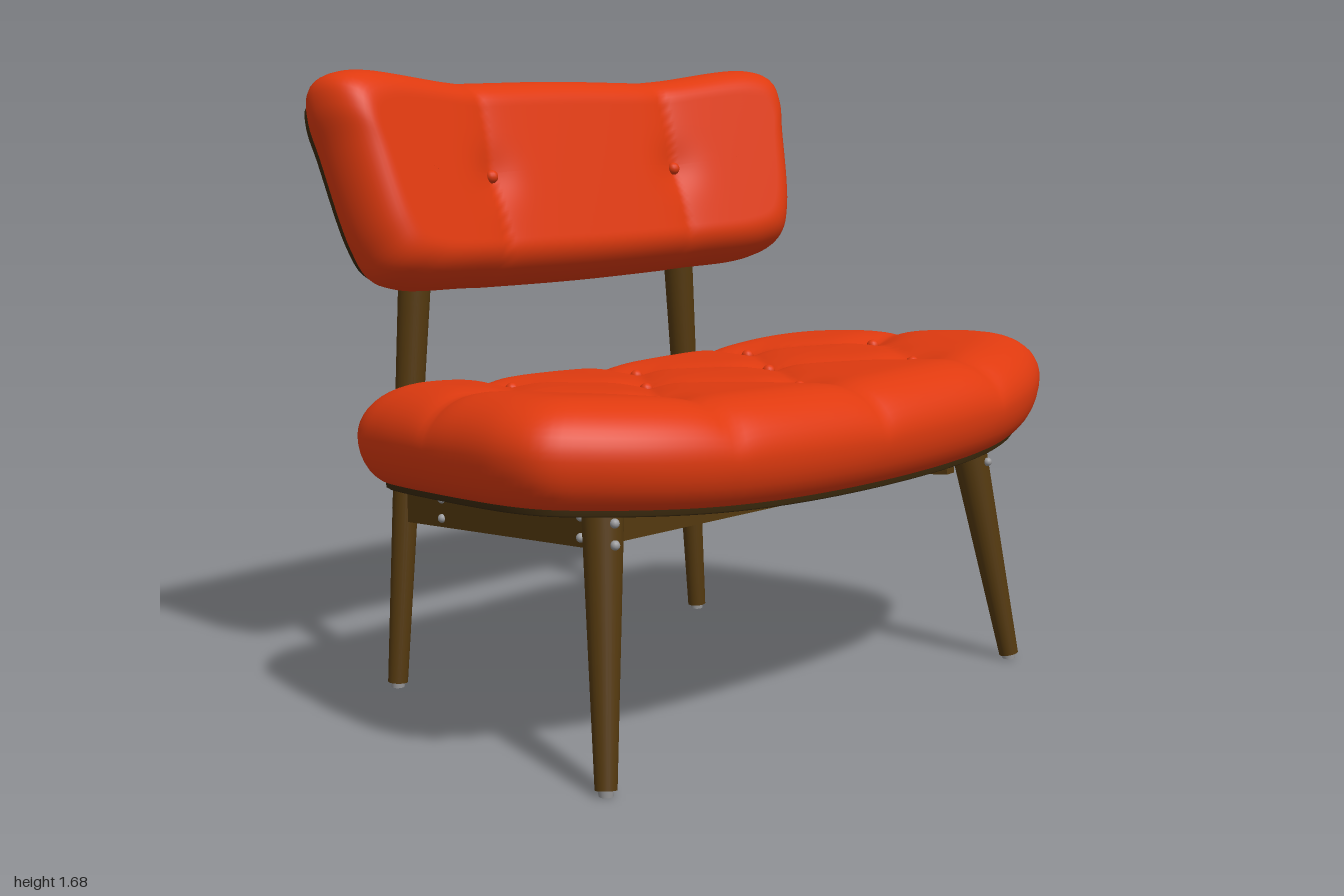
import * as THREE from 'three';

const mat = (name, color, extra = {}) => {
  const m = new THREE.MeshStandardMaterial({ color, ...extra });
  m.name = name;
  return m;
};

// Closed outline from half of its points, mirrored across x = 0
function outline(half, n) {
  const all = half.concat(half.slice(1, -1).reverse().map(([x, y]) => [-x, y]));
  const curve = new THREE.CatmullRomCurve3(all.map(([x, y]) => new THREE.Vector3(x, y, 0)), true, 'centripetal');
  return curve.getSpacedPoints(n).slice(0, n);
}

// Cushion cross-section as [inset, height]: flat, lower round, upper round, flat
function cushionProfile(depth, r1, low, mid, r2, high) {
  const pts = [];
  const arc = (i, n) => (i / n) * Math.PI / 2;
  for (let i = 0; i < 6; i++) pts.push([depth + (r1 - depth) * i / 6, low]);
  for (let i = 0; i < 8; i++) pts.push([r1 * (1 - Math.sin(arc(i, 8))), mid + (low - mid) * Math.cos(arc(i, 8))]);
  for (let i = 0; i < 12; i++) pts.push([r2 * (1 - Math.cos(arc(i, 12))), mid + (high - mid) * Math.sin(arc(i, 12))]);
  for (let i = 0; i <= 22; i++) pts.push([r2 + (depth - r2) * i / 22, high]);
  return pts;
}

// Thin board with a rim, as [inset, height]
function boardProfile(depth, inset, low, high) {
  const pts = [];
  for (let i = 0; i <= 6; i++) pts.push([depth + (inset + 0.006 - depth) * i / 6, low]);
  pts.push([inset, low + 0.004], [inset, high]);
  return pts;
}

// Skin running round an outline, one ring for each profile point
function loft(ring, profile, place) {
  const pos = [], idx = [], n = ring.length;
  profile.forEach(([d, h]) => ring.forEach(p => pos.push(...place(p, d, h))));
  for (let j = 0; j < profile.length - 1; j++) {
    for (let i = 0; i < n; i++) {
      const a = j * n + i, b = j * n + (i + 1) % n;
      idx.push(a, b, b + n, a, b + n, a + n);
    }
  }
  const g = new THREE.BufferGeometry();
  g.setAttribute('position', new THREE.Float32BufferAttribute(pos, 3));
  g.setIndex(idx);
  g.computeVertexNormals();
  return g;
}

function segmentDistance(x, z, [ax, az, bx, bz]) {
  const dx = bx - ax, dz = bz - az;
  const t = THREE.MathUtils.clamp(((x - ax) * dx + (z - az) * dz) / (dx * dx + dz * dz), 0, 1);
  return Math.hypot(x - ax - t * dx, z - az - t * dz);
}

// Seat tufting, given for x >= 0 and mirrored
const seatButtons = [[0, -0.21], [0.46, -0.21], [0.24, 0.07], [0.71, 0.06], [0, 0.39], [0.5, 0.37]];
const seatSeams = [
  [0.71, 0.06, 0.46, -0.21], [0.71, 0.06, 0.5, 0.37], [0.24, 0.07, 0.46, -0.21],
  [0.24, 0.07, 0, -0.21], [0.24, 0.07, 0.5, 0.37], [0.24, 0.07, 0, 0.39],
  [0.71, 0.06, 1, 0.04], [0.5, 0.37, 0.52, 0.7], [0, 0.39, 0, 0.7],
  [0.46, -0.21, 0.42, -0.5], [0, -0.21, 0, -0.5]];
const SEAT_H = 0.265;
const seatBase = (x, z) => 0.61 + 0.06 * x * x + 0.05 * z;
function seatDimple(x, z) {
  const ax = Math.abs(x);
  const d = Math.min(...seatSeams.map(s => segmentDistance(ax, z, s)));
  const b = Math.min(...seatButtons.map(([bx, bz]) => Math.hypot(ax - bx, z - bz)));
  return 0.018 * Math.exp(-d / 0.05) + 0.018 * Math.exp(-((b / 0.07) ** 2));
}

// Backrest shape: ends bend forward, seams at the bends
const BEND = 0.35;
const backBend = x => 0.16 * Math.max(0, Math.abs(x) - BEND);
function backDimple(x, y) {
  const s = Math.abs(Math.abs(x) - BEND);
  return 0.01 * Math.exp(-s / 0.04) + 0.015 * Math.exp(-((Math.hypot(s, y + 0.01) / 0.07) ** 2));
}

export function createModel() {
  const red = mat('redFabric', 0xdf3a0f);
  const wood = mat('wood', 0x54390f);
  const board = mat('darkBoard', 0x3a290d, { side: THREE.DoubleSide });
  const metal = mat('metal', 0x9a9a9c);
  const cloth = mat('greyCloth', 0x6e6b6b);

  const model = new THREE.Group();
  model.name = 'loungeChair';
  const add = (name, geo, material, parent = model) => {
    const m = new THREE.Mesh(geo, material);
    m.name = name;
    parent.add(m);
    return m;
  };
  const group = name => {
    const g = new THREE.Group();
    g.name = name;
    model.add(g);
    return g;
  };
  const ball = (name, material, r, p, parent) =>
    add(name, new THREE.SphereGeometry(r, 14, 10), material, parent).position.set(...p);

  // Seat
  const seat = group('seat');
  const seatRing = outline([[0, 0.69], [0.5, 0.67], [0.7, 0.62], [0.88, 0.53], [0.97, 0.46], [1, 0.36],
    [0.985, 0.15], [0.96, 0], [0.92, -0.2], [0.88, -0.32], [0.8, -0.4], [0.6, -0.45], [0, -0.47]], 220);
  const placeSeat = (p, d, h) => {
    const x = p.x * (1 - d), z = 0.11 + (p.y - 0.11) * (1 - d / 0.58);
    const top = THREE.MathUtils.clamp((h - 0.08) / 0.12, 0, 1);
    return [x, seatBase(x, z) + h - top * seatDimple(x, z), z];
  };
  add('seatCushion', loft(seatRing, cushionProfile(0.58, 0.08, 0, 0.12, 0.18, SEAT_H), placeSeat), red, seat);
  add('seatBoard', loft(seatRing, boardProfile(0.58, 0.06, -0.012, 0.02), placeSeat), board, seat);
  const patch = add('undersidePatch', new THREE.BoxGeometry(0.66, 0.008, 0.36), cloth, seat);
  patch.position.set(0, 0.597, 0);
  patch.rotation.x = -0.05;
  for (const [bx, z] of seatButtons) {
    for (const x of bx ? [bx, -bx] : [0]) {
      ball('seatButton', red, 0.018, [x, seatBase(x, z) + SEAT_H - seatDimple(x, z) + 0.006, z], seat);
    }
  }

  // Backrest, built upright and tilted back
  const back = group('backrest');
  back.position.set(0, 1.37, -0.52);
  back.rotation.x = -0.295;
  const backRing = outline([[0, -0.29], [0.4, -0.285], [0.66, -0.28], [0.745, -0.25], [0.785, -0.17],
    [0.83, 0.1], [0.845, 0.2], [0.83, 0.265], [0.76, 0.295], [0.4, 0.278], [0, 0.282]], 220);
  const placeBack = (p, d, h) => {
    const x = p.x * (1 - d / 0.84), y = p.y * (1 - d / 0.28);
    const front = THREE.MathUtils.clamp(h / 0.08, 0, 1);
    return [x, y, h + backBend(x) - front * backDimple(x, y)];
  };
  add('backCushion', loft(backRing, cushionProfile(0.28, 0.06, -0.1, -0.01, 0.09, 0.135), placeBack), red, back);
  add('backBoard', loft(backRing, boardProfile(0.28, 0.035, -0.112, -0.08), placeBack), board, back);
  for (const x of [-BEND, BEND]) ball('backButton', red, 0.018, [x, -0.01, 0.135 - backDimple(x, -0.01) + 0.005], back);

  // Frame
  const frame = group('frame');
  const leg = (name, bottom, top, r0, r1) => {
    const a = new THREE.Vector3(...bottom), b = new THREE.Vector3(...top);
    const dir = b.clone().sub(a);
    const m = add(name, new THREE.CylinderGeometry(r1, r0, dir.length(), 28), wood, frame);
    m.position.copy(a).add(b).multiplyScalar(0.5);
    m.quaternion.setFromUnitVectors(new THREE.Vector3(0, 1, 0), dir.normalize());
    add('footGlide', new THREE.CylinderGeometry(0.02, 0.018, 0.02, 20), metal, frame).position.set(a.x, 0.01, a.z);
  };
  for (const s of [-1, 1]) {
    leg('frontLeg', [s * 0.805, 0.014, 0.5], [s * 0.715, 0.65, 0.4], 0.027, 0.051);
    leg('rearLeg', [s * 0.595, 0.014, -0.545], [s * 0.5, 1.25, -0.545], 0.027, 0.046);

    // Side rail, running from the front leg down to the rear leg
    const a = new THREE.Vector3(s * 0.665, 0.595, 0.38), b = new THREE.Vector3(s * 0.55, 0.511, -0.54);
    const rail = add('sideRail', new THREE.BoxGeometry(0.04, 0.1, a.distanceTo(b)), wood, frame);
    rail.position.copy(a).add(b).multiplyScalar(0.5);
    rail.lookAt(a);

    // Bolts
    for (const z of [0.28, -0.34]) {
      const p = b.clone().lerp(a, (z - b.z) / (a.z - b.z));
      for (const dy of [-0.026, 0.026]) ball('railBolt', metal, 0.012, [p.x + s * 0.021, p.y + dy, z], frame);
    }
    for (const y of [0.49, 0.545, 1.14, 1.2]) {
      ball('rearLegBolt', metal, 0.012, [s * (0.595 - 0.077 * y), y, -0.55 - 0.027 - 0.0152 * y], frame);
    }
    for (const y of [0.58, 0.63]) ball('frontLegBolt', metal, 0.012, [s * (0.81 - 0.13 * y), y, 0.555 - 0.16 * y], frame);
  }

  // Cross bars
  add('frontBar', new THREE.BoxGeometry(1.28, 0.105, 0.045), wood, frame).position.set(0, 0.588, 0.28);
  add('rearBar', new THREE.BoxGeometry(1.12, 0.1, 0.045), wood, frame).position.set(0, 0.528, -0.34);

  return model;
}
